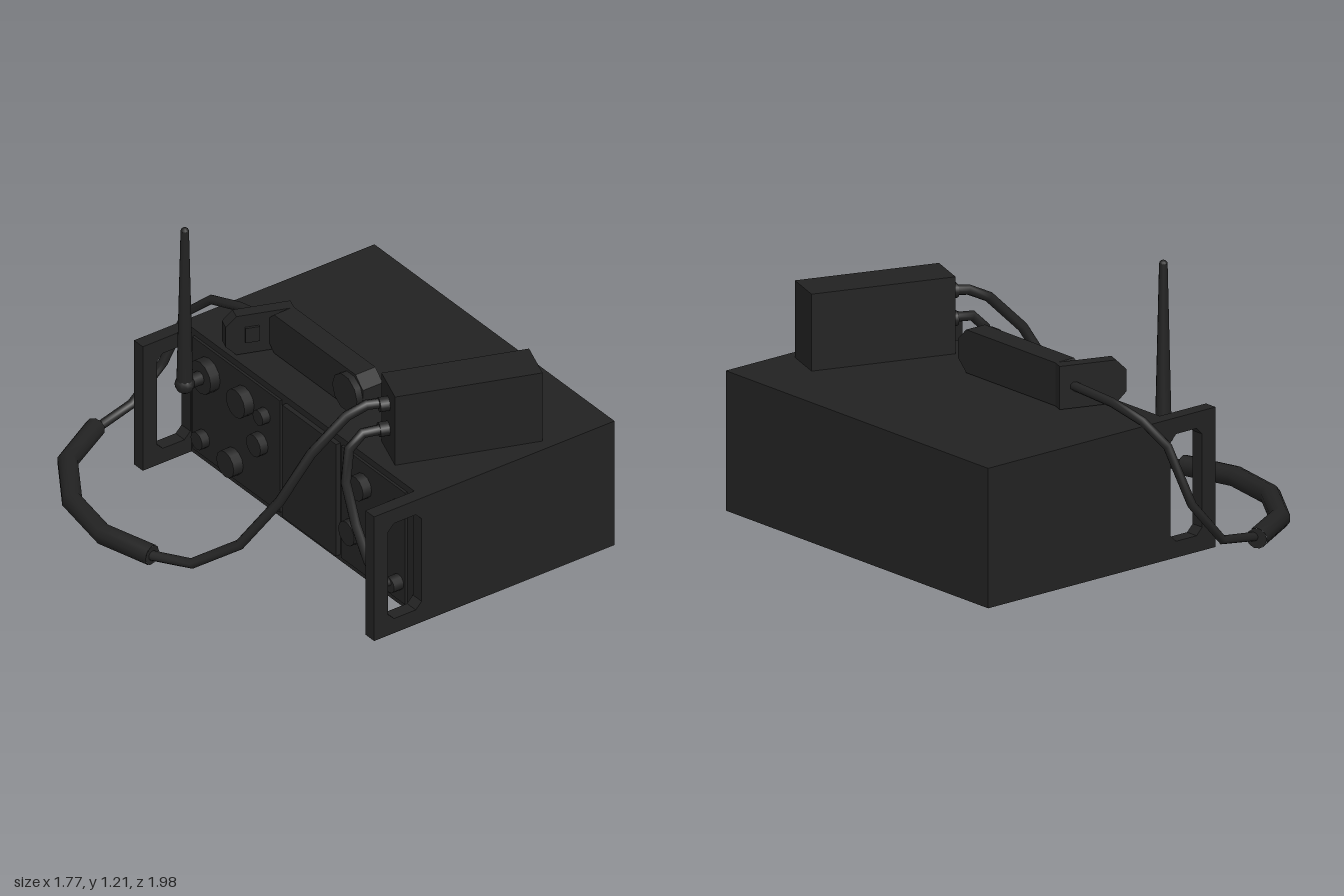
import * as THREE from 'three';

const black = new THREE.MeshStandardMaterial({ color: 0x222222 });
black.name = 'matte black';

function add(parent, name, geometry, x = 0, y = 0, z = 0) {
  const mesh = new THREE.Mesh(geometry, black);
  mesh.name = name;
  mesh.position.set(x, y, z);
  parent.add(mesh);
  return mesh;
}

const vectors = (pts) => pts.map((p) => new THREE.Vector3(...p));

// Rectangle with cut corners, as a list of points
function chamfered(x0, y0, x1, y1, c) {
  return [[x0 + c, y0], [x1 - c, y0], [x1, y0 + c], [x1, y1 - c],
    [x1 - c, y1], [x0 + c, y1], [x0, y1 - c], [x0, y0 + c]].map((p) => new THREE.Vector2(...p));
}

const extrude = (shape, depth) => new THREE.ExtrudeGeometry(shape, { depth, bevelEnabled: false });

// Cable whose rings sit exactly on the given points, with closed ends
function cable(parent, name, pts, radius, sides = 8) {
  const v = vectors(pts);
  const curve = new THREE.Curve();
  const n = v.length - 1;
  curve.getPoint = (t) => {
    const f = Math.min(Math.max(t, 0), 1) * n;
    const i = Math.min(Math.floor(f), n - 1);
    return v[i].clone().lerp(v[i + 1], f - i);
  };
  curve.getPointAt = curve.getPoint;
  curve.getTangentAt = (t) => {
    const i = Math.round(t * n);
    return v[Math.min(i + 1, n)].clone().sub(v[Math.max(i - 1, 0)]).normalize();
  };
  add(parent, name, new THREE.TubeGeometry(curve, n, radius, sides, false));
  [[v[0], v[1]], [v[n], v[n - 1]]].forEach(([end, next]) => {
    const cap = add(parent, name + ' end', new THREE.CircleGeometry(radius, sides), end.x, end.y, end.z);
    cap.lookAt(end.clone().multiplyScalar(2).sub(next));
  });
}

// Round control standing out of the panel towards -x
function knob(parent, name, y, z, radius, length, sides = 12) {
  const g = new THREE.CylinderGeometry(radius, radius, length, sides).rotateZ(Math.PI / 2);
  return add(parent, name, g, -0.13 - length / 2, y, z);
}

export function createModel() {
  const model = new THREE.Group();
  model.name = 'radio set';

  // Main unit, turned slightly about the vertical
  const unit = new THREE.Group();
  unit.name = 'main unit';
  unit.rotation.y = THREE.MathUtils.degToRad(-4);
  model.add(unit);
  add(unit, 'case', new THREE.BoxGeometry(0.967, 0.6, 1.646), 0.3535, 0.3, 0.113);

  // Guard handles at both ends of the control panel
  const guard = new THREE.Shape(chamfered(-0.377, 0, -0.13, 0.6, 0));
  guard.holes.push(new THREE.Path(chamfered(-0.306, 0.07, -0.137, 0.53, 0.03).reverse()));
  [-0.71, 0.876].forEach((z) => add(unit, 'guard handle', extrude(guard, 0.06), 0, 0, z));

  // Raised panel modules
  [[-0.63, -0.03, 0.012], [0.0, 0.37, 0.022], [0.39, 0.83, 0.012]].forEach(([z0, z1, t]) =>
    add(unit, 'panel module', new THREE.BoxGeometry(t, 0.54, z1 - z0), -0.13 - t / 2, 0.3, (z0 + z1) / 2));

  // Controls: y, z, radius, length
  [[0.45, -0.27, 0.065, 0.06], [0.12, -0.34, 0.06, 0.06], [0.3, -0.16, 0.05, 0.05],
    [0.12, -0.55, 0.04, 0.05], [0.45, -0.13, 0.035, 0.05], [0.46, 0.545, 0.055, 0.055],
    [0.2, 0.47, 0.055, 0.045], [0.48, 0.78, 0.035, 0.05], [0.2, 0.65, 0.04, 0.045],
  ].forEach((k) => knob(unit, 'control knob', ...k));
  knob(unit, 'cable socket', 0.12, 0.785, 0.035, 0.06);

  // Antenna with its elbow connector
  knob(unit, 'antenna socket', 0.45, -0.513, 0.075, 0.06);
  knob(unit, 'antenna stub', 0.45, -0.513, 0.03, 0.13, 8);
  add(unit, 'antenna joint', new THREE.SphereGeometry(0.042, 10, 8), -0.266, 0.45, -0.513);
  add(unit, 'antenna', new THREE.CylinderGeometry(0.018, 0.036, 0.75, 10), -0.266, 0.815, -0.513);
  add(unit, 'antenna tip', new THREE.SphereGeometry(0.018, 10, 6), -0.266, 1.187, -0.513);

  // Handset lying on the case
  const grip = extrude(new THREE.Shape(chamfered(-0.32, 0.605, 0.34, 0.79, 0.05)), 0.1);
  grip.rotateY(Math.PI / 2);
  add(unit, 'handset grip', grip, 0.02);
  const ear = new THREE.CylinderGeometry(0.085, 0.085, 0.03, 10).rotateZ(Math.PI / 2);
  add(unit, 'earpiece', ear, 0.005, 0.697, 0.235);
  const mouth = extrude(new THREE.Shape([[0.29, 0.605], [0.29, 0.79], [0.045, 0.79], [0, 0.745],
    [0, 0.65], [0.045, 0.605]].map((p) => new THREE.Vector2(...p))), 0.055);
  const leg = add(unit, 'mouthpiece', mouth, -0.135, 0, -0.436);
  leg.rotation.y = THREE.MathUtils.degToRad(-20);
  const button = add(unit, 'talk button', new THREE.BoxGeometry(0.06, 0.07, 0.02), -0.05, 0.697, -0.345);
  button.rotation.y = leg.rotation.y;

  // Speaker box on top
  const speaker = add(model, 'speaker box', new THREE.BoxGeometry(0.627, 0.33, 0.19), 0.2, 0.765, 0.705);
  speaker.rotation.y = THREE.MathUtils.degToRad(-23.5);
  [0.84, 0.72].forEach((y) => {
    const g = new THREE.CylinderGeometry(0.032, 0.032, 0.05, 10).rotateZ(Math.PI / 2);
    add(model, 'cable gland', g, -0.1, y, 0.572).rotation.y = speaker.rotation.y;
  });

  // Cables
  cable(model, 'long cable', [[-0.08, 0.845, 0.58], [-0.16, 0.84, 0.53], [-0.24, 0.8, 0.495],
    [-0.38, 0.65, 0.44], [-0.49, 0.43, 0.37], [-0.6, 0.21, 0.25], [-0.72, 0.09, 0.09],
    [-0.81, 0.08, -0.1]], 0.022);
  cable(model, 'cable sleeve', [[-0.795, 0.083, -0.07], [-0.845, 0.083, -0.32], [-0.78, 0.083, -0.59],
    [-0.6, 0.083, -0.83], [-0.35, 0.083, -0.95]], 0.044, 10);
  cable(model, 'handset cable', [[-0.38, 0.083, -0.935], [-0.16, 0.12, -0.945], [-0.03, 0.29, -0.9],
    [0.04, 0.54, -0.83], [0.08, 0.63, -0.73], [0.09, 0.675, -0.56], [0.1, 0.7, -0.33]], 0.02);
  cable(model, 'short cable', [[-0.08, 0.725, 0.585], [-0.19, 0.72, 0.54], [-0.25, 0.66, 0.525],
    [-0.28, 0.52, 0.54], [-0.295, 0.36, 0.62], [-0.295, 0.22, 0.7], [-0.27, 0.14, 0.755],
    [-0.18, 0.12, 0.775]], 0.022);

  return model;
}
